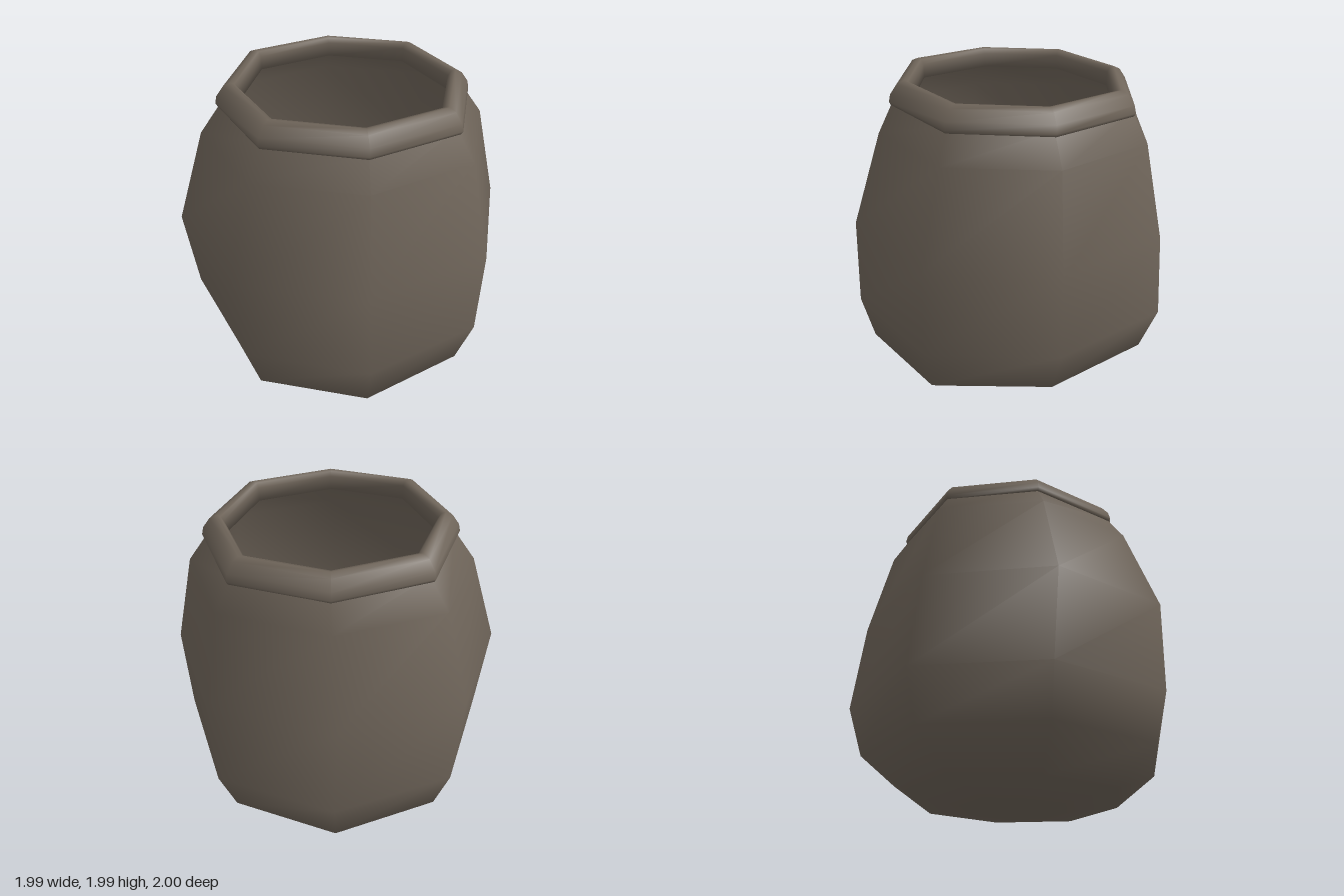
import * as THREE from 'three';
import { mergeVertices } from 'three/addons/utils/BufferGeometryUtils.js';

const SIDES = 8;

// Smooth eight-sided skin through rings of [y, radiusX, radiusZ, centreX, centreZ, tilt]
function skin(rings) {
  const pos = [], index = [];
  for (const [y, rx, rz, cx, cz, tilt] of rings) {
    for (let k = 0; k < SIDES; k++) {
      const a = (k / SIDES) * Math.PI * 2;
      const bulge = k % 2 ? 1.035 : 1; // diagonal corners sit slightly further out
      const x = cx + Math.cos(a) * rx * bulge;
      const z = cz + Math.sin(a) * rz * bulge;
      pos.push(x, y + tilt * (z - x), z);
    }
  }
  for (let i = 0; i < rings.length - 1; i++) {
    for (let k = 0; k < SIDES; k++) {
      const a = i * SIDES + k, b = i * SIDES + (k + 1) % SIDES;
      const c = a + SIDES, d = b + SIDES;
      index.push(a, c, b, b, c, d);
    }
  }
  let geo = new THREE.BufferGeometry();
  geo.setAttribute('position', new THREE.Float32BufferAttribute(pos, 3));
  geo.setIndex(index);
  geo = mergeVertices(geo, 1e-4);
  geo.computeVertexNormals();
  return geo;
}

export function createModel() {
  const group = new THREE.Group();
  group.name = 'pot';
  const clay = new THREE.MeshStandardMaterial({ color: 0x6e6459, side: THREE.DoubleSide });
  clay.name = 'brown clay';

  // Thin-walled body, slightly lopsided, closed by a shallow pointed base
  const body = new THREE.Mesh(skin([
    [0.00, 0, 0, 0, 0.03, 0],
    [0.09, 0.565, 0.635, -0.005, 0.025, 0],
    [0.31, 0.845, 0.92, 0.005, 0.01, 0],
    [0.60, 0.95, 1.0, 0.01, 0, 0],
    [1.13, 0.995, 0.96, -0.005, 0.02, 0],
    [1.69, 0.84, 0.805, 0.02, -0.005, 0],
    [1.87, 0.71, 0.71, 0.025, -0.005, 0.01],
  ]), clay);
  body.name = 'body';

  // Rounded rim: up the outside, over the lip, down the inside and back
  const rimProfile = [
    [0.70, 1.843], [0.735, 1.843], [0.745, 1.862], [0.735, 1.905], [0.695, 1.96],
    [0.655, 1.978], [0.63, 1.972], [0.612, 1.945], [0.612, 1.86], [0.70, 1.843],
  ];
  const rim = new THREE.Mesh(
    skin(rimProfile.map(([r, y]) => [y, r, r * 0.985, 0.025, -0.005, 0.012])), clay);
  rim.name = 'rim';

  group.add(body, rim);
  return group;
}
